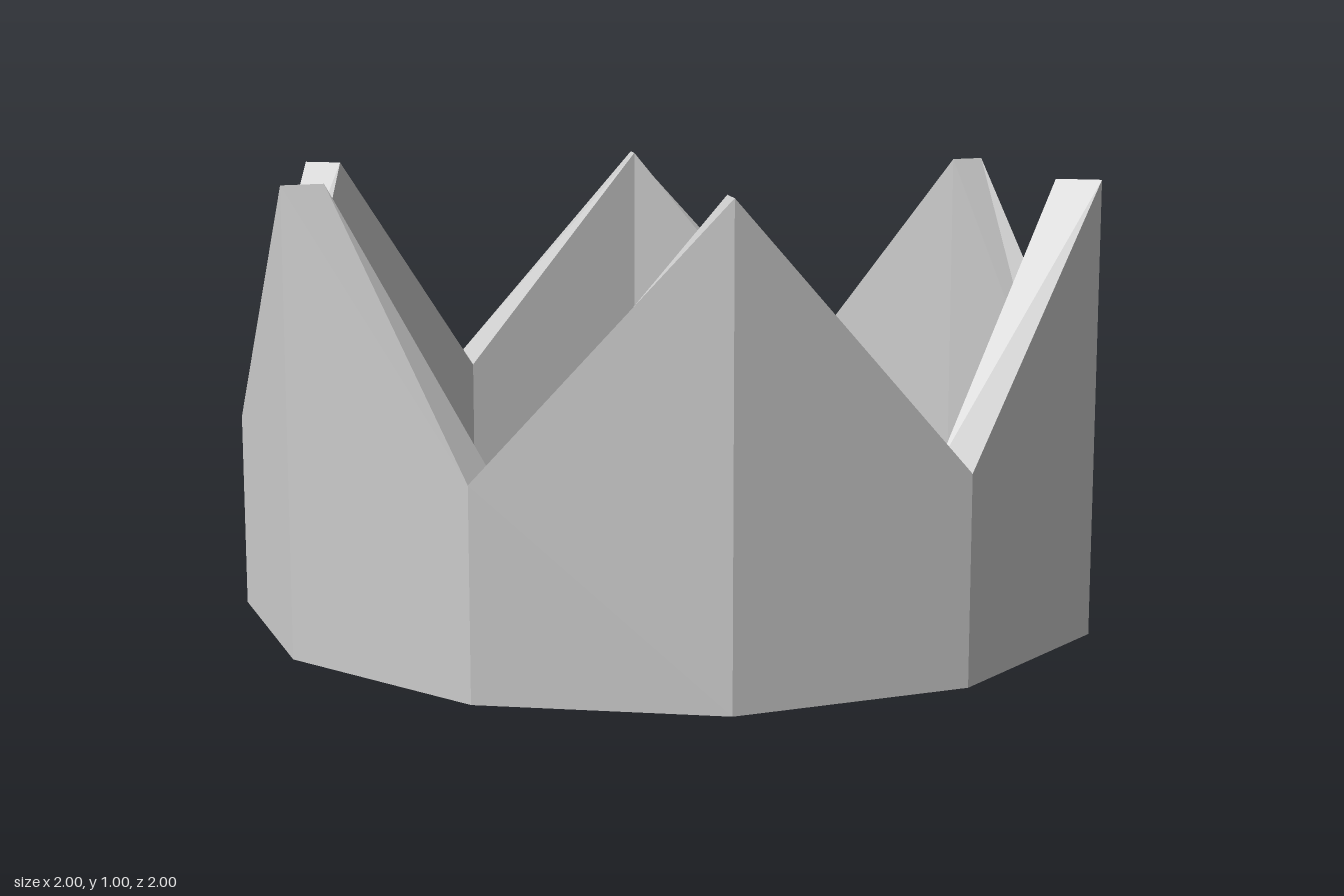
import * as THREE from 'three';

const SIDES = 12, OUTER = 1, INNER = 0.9, PEAK = 1, VALLEY = 0.44;

// Twelve-sided ring whose top edge alternates between peaks and valleys
function crownGeometry() {
  const profile = [[OUTER, 0], [OUTER, PEAK], [INNER, PEAK], [INNER, 0], [OUTER, 0]]
    .map(([r, y]) => new THREE.Vector2(r, y));
  const ring = new THREE.LatheGeometry(profile, SIDES);
  const pos = ring.attributes.position;
  for (let i = 0; i < pos.count; i++) {
    const column = Math.floor(i / profile.length);
    if (column % 2 === 1 && pos.getY(i) > 0) pos.setY(i, VALLEY);
  }
  const flat = ring.toNonIndexed();
  flat.computeVertexNormals();
  return flat;
}

export function createModel() {
  const model = new THREE.Group();
  model.name = 'crown';
  const material = new THREE.MeshStandardMaterial({ color: 0xcccccc, flatShading: true });
  const band = new THREE.Mesh(crownGeometry(), material);
  band.name = 'crownBand';
  model.add(band);
  return model;
}
